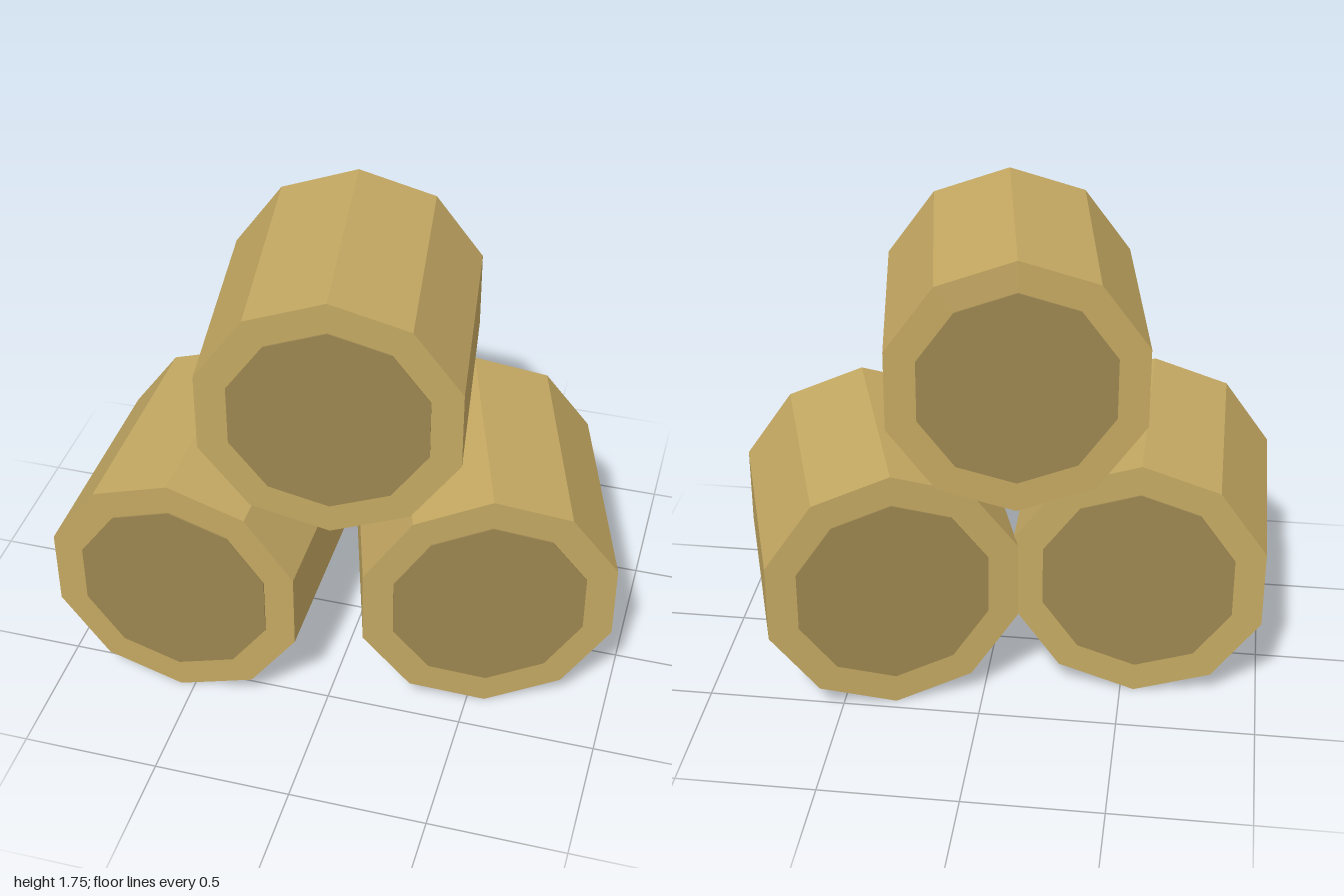
import * as THREE from 'three';

const RADIUS = 0.475, LENGTH = 0.86, SIDES = 10;

const barkMaterial = new THREE.MeshStandardMaterial({ color: 0xc4a862, flatShading: true });
const endMaterial = new THREE.MeshStandardMaterial({ color: 0x9c8650, flatShading: true });

// Ten-sided cylinder lying along z, with a corner pointing straight up
function lyingCylinder(radius, length) {
  return new THREE.CylinderGeometry(radius, radius, length, SIDES).rotateX(Math.PI / 2);
}

const bodyGeometry = lyingCylinder(RADIUS, LENGTH);
const endGeometry = lyingCylinder(RADIUS * 0.76, 0.02);

// One round bale: body plus a slightly raised darker disc on each end
function createBale(name, x, y, z, turn) {
  const bale = new THREE.Group();
  bale.name = name;
  const body = new THREE.Mesh(bodyGeometry, barkMaterial);
  body.name = 'baleBody';
  bale.add(body);
  for (const side of [1, -1]) {
    const disc = new THREE.Mesh(endGeometry, endMaterial);
    disc.name = side > 0 ? 'frontEndDisc' : 'backEndDisc';
    disc.position.z = side * (LENGTH / 2 - 0.005);
    bale.add(disc);
  }
  bale.position.set(x, y, z);
  bale.rotation.y = turn;
  return bale;
}

export function createModel() {
  const model = new THREE.Group();
  model.name = 'baleStack';
  // Two bales on the ground and one resting on top
  model.add(
    createBale('rightBale', -0.55, RADIUS, 0.15, 0),
    createBale('leftBale', 0.437, RADIUS, -0.05, 0.3),
    createBale('topBale', -0.056, 1.27, 0.051, 0.15),
  );
  return model;
}
